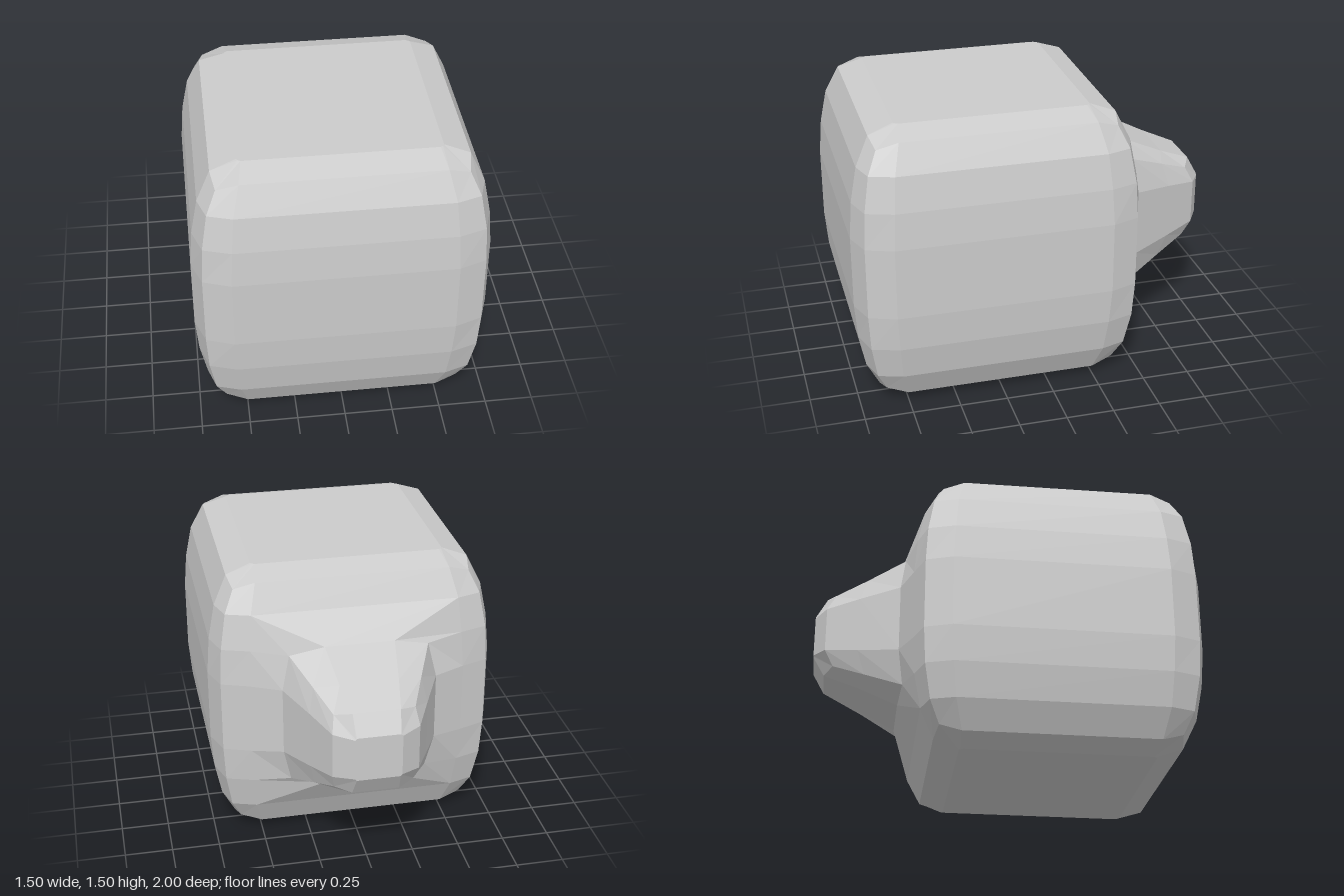
import * as THREE from 'three';

// Mirrors three quadrant points [u, v, w] into a closed 12-point outline.
function outline(q) {
  const r = [...q].reverse();
  const m = (pts, su, sv) => pts.map(([u, v, w]) => [su * u, sv * v, w]);
  return [...q, ...m(r, -1, 1), ...m(q, -1, -1), ...m(r, 1, -1)];
}

// Skins a stack of rings; skip(i, j) leaves a quad open.
function loft(rings, { capStart, capEnd, skip = () => false }) {
  const n = rings[0].length, pos = [];
  const tri = (a, b, c) => pos.push(...a, ...b, ...c);
  for (let i = 0; i < rings.length - 1; i++) {
    for (let j = 0; j < n; j++) {
      if (skip(i, j)) continue;
      const k = (j + 1) % n;
      const a = rings[i][j], b = rings[i][k], c = rings[i + 1][k], d = rings[i + 1][j];
      tri(a, d, b);
      tri(b, d, c);
    }
  }
  const first = rings[0], last = rings[rings.length - 1];
  for (let j = 1; j < n - 1; j++) {
    if (capStart) tri(first[0], first[j], first[j + 1]);
    if (capEnd) tri(last[0], last[j + 1], last[j]);
  }
  const g = new THREE.BufferGeometry();
  g.setAttribute('position', new THREE.Float32BufferAttribute(pos, 3));
  g.computeVertexNormals();
  return g;
}

export function createModel() {
  const group = new THREE.Group();
  const material = new THREE.MeshStandardMaterial({ color: 0xcccccc, flatShading: true });
  const add = (name, geometry) => {
    const mesh = new THREE.Mesh(geometry, material);
    mesh.name = name;
    group.add(mesh);
  };
  const midY = 0.75, midZ = 0.25;

  // Rounded block: height from middle, half width, flat half width, corner, corner height
  const upper = [
    [0.19, 0.75, 0.56, 0.70, 0.19],
    [0.38, 0.735, 0.55, 0.69, 0.38],
    [0.56, 0.70, 0.535, 0.66, 0.56],
    [0.705, 0.63, 0.50, 0.61, 0.67],
    [0.75, 0.50, 0.48, 0.492, 0.75],
  ];
  const lower = [...upper].reverse().map(([y, h, f, r, ry]) => [-y, h, f, r, -ry]);
  const bodyRings = [...lower, ...upper].map(([y, h, f, r, ry]) =>
    outline([[h, f, y], [r, r, ry], [f, h, y]]).map(([x, z, w]) => [x, midY + w, midZ + z]));
  // The middle of the back stays open where the snout joins
  const skip = (i, j) => j === 8 && i >= 2 && i <= 6;
  add('body', loft(bodyRings, { capStart: true, capEnd: true, skip }));

  // Tapered snout at the back, starting from the opening's rim
  const snoutRings = [
    [[0.56, 0.19, -0.50], [0.55, 0.38, -0.485], [0.535, 0.56, -0.45]],
    [[0.40, 0.18, -0.56], [0.36, 0.36, -0.535], [0.18, 0.40, -0.55]],
    [[0.30, 0.15, -0.77], [0.275, 0.275, -0.73], [0.15, 0.295, -0.77]],
    [[0.22, 0.12, -0.94], [0.205, 0.205, -0.895], [0.12, 0.225, -0.94]],
    [[0.12, 0.11, -1], [0.115, 0.115, -1], [0.11, 0.12, -1]],
  ].map((q) => outline(q).map(([x, y, z]) => [x, midY + y, z]));
  add('snout', loft(snoutRings, { capEnd: true }));

  return group;
}
